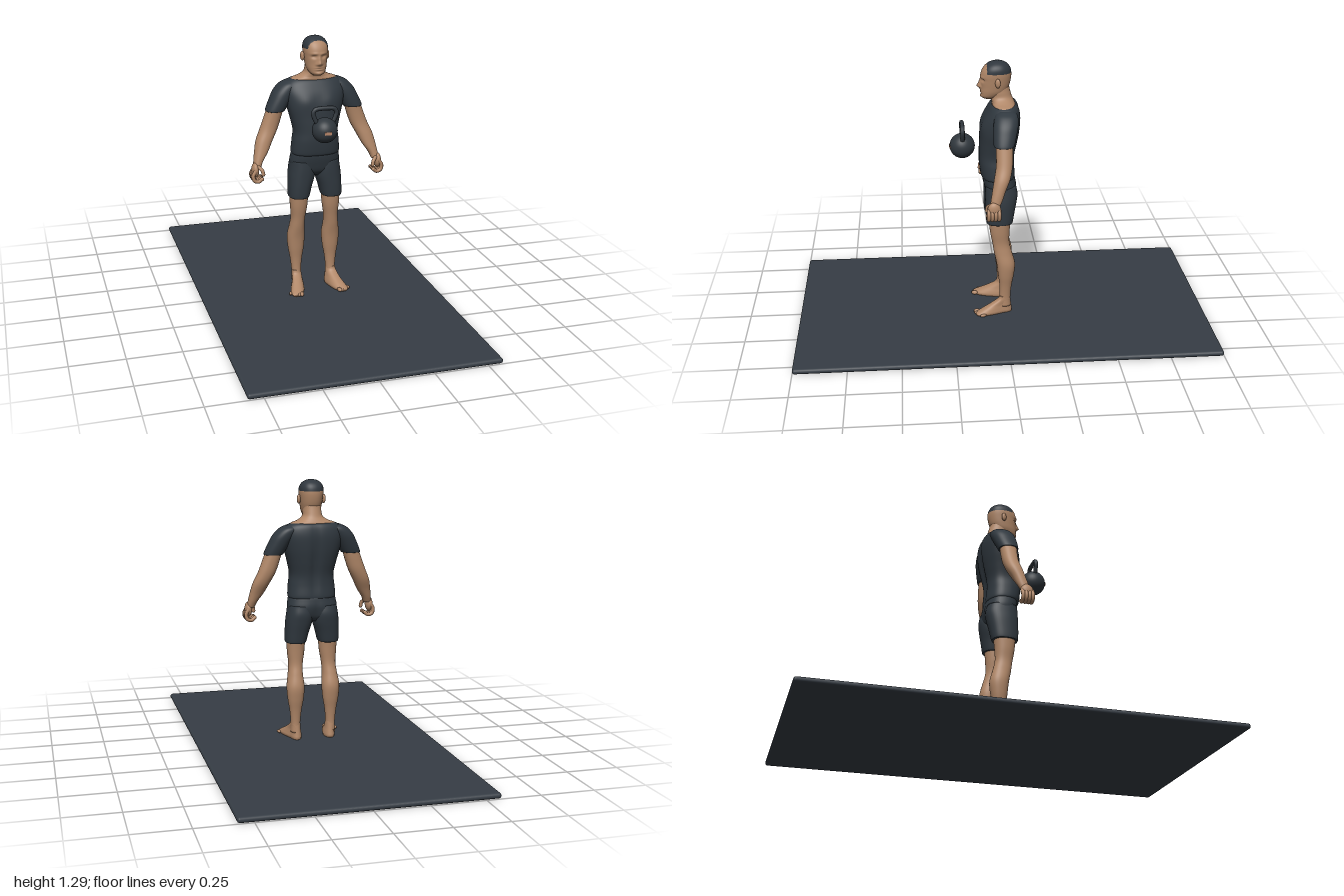
import * as THREE from 'three';
import { RoundedBoxGeometry } from 'three/addons/geometries/RoundedBoxGeometry.js';

const mat = (name, color) => {
  const m = new THREE.MeshStandardMaterial({ color });
  m.name = name;
  return m;
};

// Smooth body through horizontal sections [y, x0, x1, z0, z1], bottom to top.
// side mirrors it in x, sculpt(v) moves points, keep(centre) selects faces.
function loft(rings, { side = 1, power = 2.2, seg = 40, sub = 6, sculpt, keep } = {}) {
  const curve = f => new THREE.CatmullRomCurve3(rings.map(f), false, 'catmullrom', 0.5);
  const mid = curve(([y, a, b, c, d]) => new THREE.Vector3((a + b) / 2, y, (c + d) / 2));
  const rad = curve(([, a, b, c, d]) => new THREE.Vector3((b - a) / 2, (d - c) / 2, 0));
  const n = (rings.length - 1) * sub, pos = [], index = [], v = new THREE.Vector3();
  const put = (x, y, z) => {
    v.set(x, y, z);
    if (sculpt) sculpt(v);
    pos.push(v.x * side, v.y, v.z);
  };
  const bend = t => Math.sign(t) * Math.abs(t) ** (2 / power);
  for (let i = 0; i <= n; i++) {
    const c = mid.getPoint(i / n), r = rad.getPoint(i / n);
    for (let j = 0; j < seg; j++) {
      const t = side * j / seg * Math.PI * 2;
      put(c.x + side * side * r.x * bend(Math.cos(t)), c.y, c.z + r.y * bend(Math.sin(t)));
    }
  }
  const lo = mid.getPoint(0), hi = mid.getPoint(1), last = n * seg;
  put(lo.x, lo.y, lo.z);
  put(hi.x, hi.y, hi.z);
  const tri = (a, b, c) => index.push(a, b, c);
  // reversing theta and x together keeps the same turn, so fix by side
  const face = (a, b, c) => tri(a, b, c);
  for (let j = 0; j < seg; j++) {
    const k = (j + 1) % seg;
    for (let i = 0; i < n; i++) {
      const a = i * seg + j, b = i * seg + k;
      face(a, a + seg, b);
      face(b, a + seg, b + seg);
    }
    face(last + seg, j, k);
    face(last + seg + 1, last + k, last + j);
  }
  const g = new THREE.BufferGeometry();
  g.setAttribute('position', new THREE.Float32BufferAttribute(pos, 3));
  g.setIndex(index);
  g.computeVertexNormals();
  if (keep) {
    const out = [], p = g.attributes.position, c = new THREE.Vector3(), q = new THREE.Vector3();
    for (let i = 0; i < index.length; i += 3) {
      c.set(0, 0, 0);
      for (let k = 0; k < 3; k++) c.add(q.fromBufferAttribute(p, index[i + k]));
      if (keep(c.divideScalar(3))) out.push(index[i], index[i + 1], index[i + 2]);
    }
    g.setIndex(out);
  }
  return g;
}

const bump = (x, y, x0, y0, w, h) => Math.exp(-(((x - x0) / w) ** 2) - ((y - y0) / h) ** 2);

export function createModel() {
  const model = new THREE.Group();
  model.name = 'athlete';
  const skin = mat('skin', 0xb08768), cloth = mat('dark cloth', 0x30383f);
  const hairMat = mat('hair', 0x30373e), rubber = mat('mat rubber', 0x363d45);
  const iron = mat('iron', 0x30373d), labelMat = mat('label', 0xb8876a);
  const add = (name, geo, m, x = 0, y = 0, z = 0, s) => {
    const o = new THREE.Mesh(geo, m);
    o.name = name;
    o.position.set(x, y, z);
    if (s) o.scale.set(...s);
    model.add(o);
    return o;
  };
  const tube = (pts, r, n = 24) => new THREE.TubeGeometry(
    new THREE.CatmullRomCurve3(pts.map(p => new THREE.Vector3(...p))), n, r, 10);
  const ball = new THREE.SphereGeometry(1, 24, 16);
  const sym = ([y, r, z0, z1]) => [y, -r, r, z0, z1];

  // Exercise mat
  add('mat', new RoundedBoxGeometry(1.14, 0.025, 2, 4, 0.012), rubber, 0, 0.0125, 0);

  // Head, with hair cut from the same surface
  const headRings = [
    [1.112, 0.022, 0.03, 0.084], [1.124, 0.036, 0.005, 0.096], [1.145, 0.046, -0.022, 0.097],
    [1.17, 0.051, -0.036, 0.096], [1.2, 0.055, -0.044, 0.097], [1.23, 0.058, -0.047, 0.096],
    [1.255, 0.056, -0.043, 0.086], [1.274, 0.045, -0.03, 0.069], [1.286, 0.027, -0.009, 0.046],
    [1.291, 0.006, 0.012, 0.024]].map(sym);
  const sculptFace = v => {
    if (v.z < 0.045) return;
    const x = Math.abs(v.x), y = v.y;
    v.z += 0.017 * bump(x, y, 0, 1.172, 0.01, 0.011) + 0.009 * bump(x, y, 0, 1.19, 0.007, 0.016)
      + 0.004 * bump(x, y, 0.012, 1.168, 0.006, 0.006) - 0.009 * bump(x, y, 0.023, 1.203, 0.012, 0.008)
      + 0.004 * bump(x, y, 0.02, 1.217, 0.02, 0.006) + 0.004 * bump(x, y, 0, 1.148, 0.018, 0.008)
      - 0.005 * bump(x, y, 0, 1.147, 0.018, 0.0025) - 0.003 * bump(x, y, 0, 1.135, 0.02, 0.004)
      + 0.004 * bump(x, y, 0, 1.122, 0.014, 0.007);
  };
  const isHair = c => c.y > 1.277 || (c.y > 1.237 && c.z < 0.068);
  const headOpt = { seg: 72, sub: 8, sculpt: sculptFace };
  add('head', loft(headRings, { ...headOpt, keep: c => !isHair(c) }), skin);
  add('hair', loft(headRings, { ...headOpt, keep: isHair }), hairMat);
  add('neck', loft([[1.06, 0.11, -0.062, 0.04], [1.085, 0.111, -0.064, 0.045],
    [1.099, 0.075, -0.059, 0.046], [1.118, 0.049, -0.05, 0.052],
    [1.145, 0.044, -0.042, 0.06], [1.17, 0.042, -0.036, 0.06]].map(sym)), skin);

  // Shirt body with chest and spine shaping
  add('shirt', loft([[0.722, 0.108, -0.058, 0.09], [0.735, 0.116, -0.064, 0.1],
    [0.79, 0.112, -0.06, 0.107], [0.84, 0.107, -0.062, 0.107], [0.9, 0.119, -0.074, 0.105],
    [0.96, 0.135, -0.084, 0.1], [1.02, 0.146, -0.088, 0.083], [1.06, 0.14, -0.083, 0.062],
    [1.082, 0.119, -0.073, 0.046], [1.088, 0.1, -0.058, 0.032]].map(sym), {
    seg: 64, power: 2.5,
    sculpt: v => {
      const x = Math.abs(v.x);
      if (v.z > 0.03) v.z += 0.006 * bump(x, v.y, 0.06, 0.99, 0.04, 0.035);
      if (v.z < -0.03) v.z += 0.012 * bump(x, v.y, 0, 0.9, 0.018, 0.14);
    },
  }), cloth);

  // Shorts: seat
  add('shortsSeat', loft([[0.612, 0.07, -0.04, 0.045], [0.64, 0.11, -0.062, 0.072],
    [0.68, 0.121, -0.07, 0.085], [0.715, 0.117, -0.065, 0.092], [0.735, 0.112, -0.06, 0.092]].map(sym),
  { power: 2.4, sculpt: v => {
    if (v.z < -0.02) v.z += 0.014 * bump(v.x, v.y, 0, 0.64, 0.014, 0.05);
  } }), cloth);

  for (const side of [1, -1]) {
    const tag = side > 0 ? 'left' : 'right';
    const part = (name, rings, m, opt = {}) => add(tag + name, loft(rings, { side, ...opt }), m);

    add(tag + 'Ear', ball, skin, side * 0.061, 1.197, 0.02, [0.009, 0.022, 0.013])
      .rotation.y = side * -0.4;

    // Sleeve and arm
    part('Sleeve', [[0.938, 0.15, 0.232, -0.042, 0.046], [0.944, 0.142, 0.237, -0.047, 0.05],
      [0.99, 0.115, 0.217, -0.06, 0.05], [1.03, 0.09, 0.196, -0.068, 0.046],
      [1.062, 0.07, 0.166, -0.066, 0.036], [1.079, 0.085, 0.132, -0.045, 0.015]], cloth);
    part('Arm', [[0.68, 0.275, 0.312, 0.03, 0.076], [0.71, 0.262, 0.308, 0.016, 0.07],
      [0.75, 0.235, 0.301, 0, 0.062], [0.8, 0.209, 0.289, -0.022, 0.052],
      [0.85, 0.183, 0.267, -0.034, 0.042], [0.9, 0.165, 0.248, -0.038, 0.04],
      [0.96, 0.148, 0.226, -0.04, 0.042]], skin);

    // Curled hand
    add(tag + 'Palm', ball, skin, side * 0.304, 0.669, 0.057, [0.018, 0.036, 0.031]);
    for (let i = 0; i < 4; i++) {
      const z = 0.034 + i * 0.016;
      const pts = [[0.306, 0.672, z], [0.319, 0.648, z], [0.313, 0.624, z],
        [0.293, 0.618, z], [0.277, 0.63, z + 0.002]].map(([a, b, c]) => [a * side, b, c]);
      add(tag + 'Finger', tube(pts, 0.009), skin);
      add(tag + 'Fingertip', ball, skin, ...pts[4], [0.009, 0.009, 0.009]);
    }
    const thumb = [[0.293, 0.688, 0.07], [0.276, 0.672, 0.085], [0.272, 0.655, 0.088]]
      .map(([a, b, c]) => [a * side, b, c]);
    add(tag + 'Thumb', tube(thumb, 0.009), skin);
    add(tag + 'ThumbTip', ball, skin, ...thumb[2], [0.009, 0.011, 0.009]);

    // Shorts leg
    part('ShortsLeg', [[0.505, 0.034, 0.126, -0.044, 0.072], [0.512, 0.03, 0.131, -0.049, 0.078],
      [0.56, 0.018, 0.131, -0.058, 0.081], [0.61, 0.003, 0.129, -0.068, 0.082],
      [0.65, 0, 0.124, -0.073, 0.082], [0.69, 0.005, 0.118, -0.066, 0.08]], cloth, { power: 2.4 });

    // Leg from ankle to thigh
    part('Leg', [[0.06, 0.064, 0.112, -0.04, 0.026], [0.11, 0.065, 0.111, -0.038, 0.016],
      [0.17, 0.059, 0.117, -0.044, 0.016], [0.23, 0.049, 0.127, -0.055, 0.023],
      [0.29, 0.045, 0.131, -0.06, 0.03], [0.35, 0.05, 0.122, -0.045, 0.042],
      [0.4, 0.048, 0.117, -0.033, 0.05], [0.46, 0.039, 0.122, -0.034, 0.061],
      [0.53, 0.034, 0.125, -0.04, 0.068]], skin);

    // Foot, splayed outwards and wider at the toes
    part('Foot', [[0.025, 0.056, 0.112, -0.044, 0.132], [0.036, 0.053, 0.115, -0.046, 0.133],
      [0.05, 0.055, 0.113, -0.044, 0.108], [0.07, 0.06, 0.11, -0.041, 0.068],
      [0.095, 0.064, 0.111, -0.038, 0.025], [0.115, 0.066, 0.11, -0.036, 0.015]], skin, {
      power: 2.4,
      sculpt: v => {
        const f = Math.max(0, v.z);
        v.x = 0.084 + (v.x - 0.084) * (1 + 2 * f) + 0.27 * f;
      },
    });
    for (let i = 0; i < 5; i++) {
      const r = i ? 0.0085 : 0.0115;
      add(tag + 'Toe', ball, skin, side * (0.096 + i * 0.0125), 0.025 + r * 0.9,
        0.129 - 0.0018 * i * i, [r * 0.85, r * 0.9, 0.016]).rotation.y = side * 0.27;
    }
  }

  // Kettlebell floating before the chest
  add('kettlebellBall', new THREE.SphereGeometry(0.06, 40, 28), iron, 0, 0.876, 0.186);
  const half = [[0.038, 0.912], [0.05, 0.937], [0.056, 0.96], [0.046, 0.977], [0.022, 0.981]];
  const loop = [...half, ...half.map(([x, y]) => [-x, y]).reverse()];
  add('kettlebellHandle', tube(loop.map(([x, y]) => [x, y, 0.186]), 0.0105, 60), iron);
  add('kettlebellLabel', new THREE.BoxGeometry(0.034, 0.014, 0.009), labelMat, 0, 0.875, 0.243);

  return model;
}
